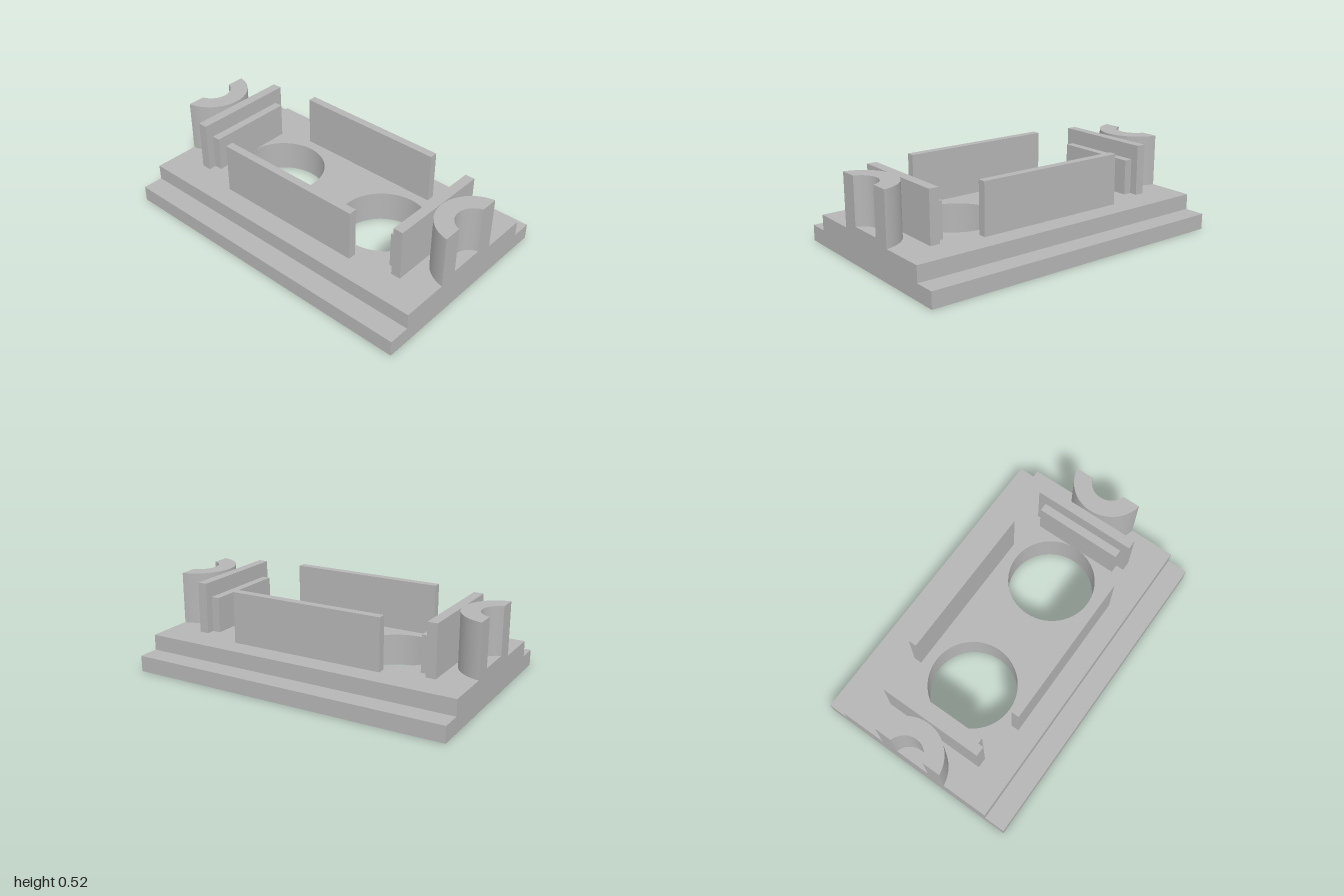
import * as THREE from 'three';
import { toCreasedNormals } from 'three/addons/utils/BufferGeometryUtils.js';

export function createModel() {
  const model = new THREE.Group();
  const grey = new THREE.MeshStandardMaterial({ color: 0xb5b5b5 });
  grey.name = 'grey';

  const add = (name, geometry, parent = model) => {
    const mesh = new THREE.Mesh(geometry, grey);
    mesh.name = name;
    parent.add(mesh);
    return mesh;
  };

  // Extrude a plan outline upward from y0 to y1
  const slab = (shape, y0, y1) => {
    const g = new THREE.ExtrudeGeometry(shape, { depth: y1 - y0, bevelEnabled: false, curveSegments: 48 });
    g.rotateX(-Math.PI / 2).translate(0, y0, 0);
    return toCreasedNormals(g, 0.5);
  };

  const block = (name, x0, x1, y0, y1, z0, z1, parent) => {
    const g = new THREE.BoxGeometry(x1 - x0, y1 - y0, z1 - z0);
    g.translate((x0 + x1) / 2, (y0 + y1) / 2, (z0 + z1) / 2);
    return add(name, g, parent);
  };

  // Stepped base with two round through-holes
  const plate = (halfDepth) => {
    const s = new THREE.Shape([[-1, -1], [1, -1], [1, 1], [-1, 1]]
      .map(([x, z]) => new THREE.Vector2(x, z * halfDepth)));
    for (const x of [-0.415, 0.415]) {
      s.holes.push(new THREE.Path().absarc(x, 0, 0.27, 0, Math.PI * 2, true));
    }
    return s;
  };
  const top = 0.195;
  add('lowerBase', slab(plate(0.645), 0, 0.098));
  add('upperBase', slab(plate(0.515), 0.098, top));

  // Long walls along front and back
  block('frontWall', -0.485, 0.485, top, 0.51, 0.335, 0.385);
  block('backWall', -0.485, 0.485, top, 0.51, -0.385, -0.335);

  // Round end sockets, cut off flush with the ends of the base
  const cx = 1.03, outer = 0.225, inner = 0.115;
  const cut = (r) => Math.acos((1 - cx) / r);
  const a = cut(outer), b = cut(inner);
  const solid = new THREE.Shape().absarc(cx, 0, outer, a, Math.PI * 2 - a, false);
  const ring = new THREE.Shape().absarc(cx, 0, outer, a, Math.PI * 2 - a, false);
  ring.absarc(cx, 0, inner, Math.PI * 2 - b, b, true);
  ring.closePath();

  for (const side of ['left', 'right']) {
    const end = new THREE.Group();
    end.name = side + 'End';
    add('socketFloor', slab(solid, top, 0.228), end);
    add('socketWall', slab(ring, 0.228, 0.52), end);
    // Tall end wall with a lower ledge on its inner face
    block('endWall', 0.735, 0.795, top, 0.51, -0.325, 0.325, end);
    block('endLedge', 0.683, 0.735, top, 0.415, -0.275, 0.275, end);
    if (side === 'right') end.rotation.y = Math.PI;
    model.add(end);
  }

  return model;
}
